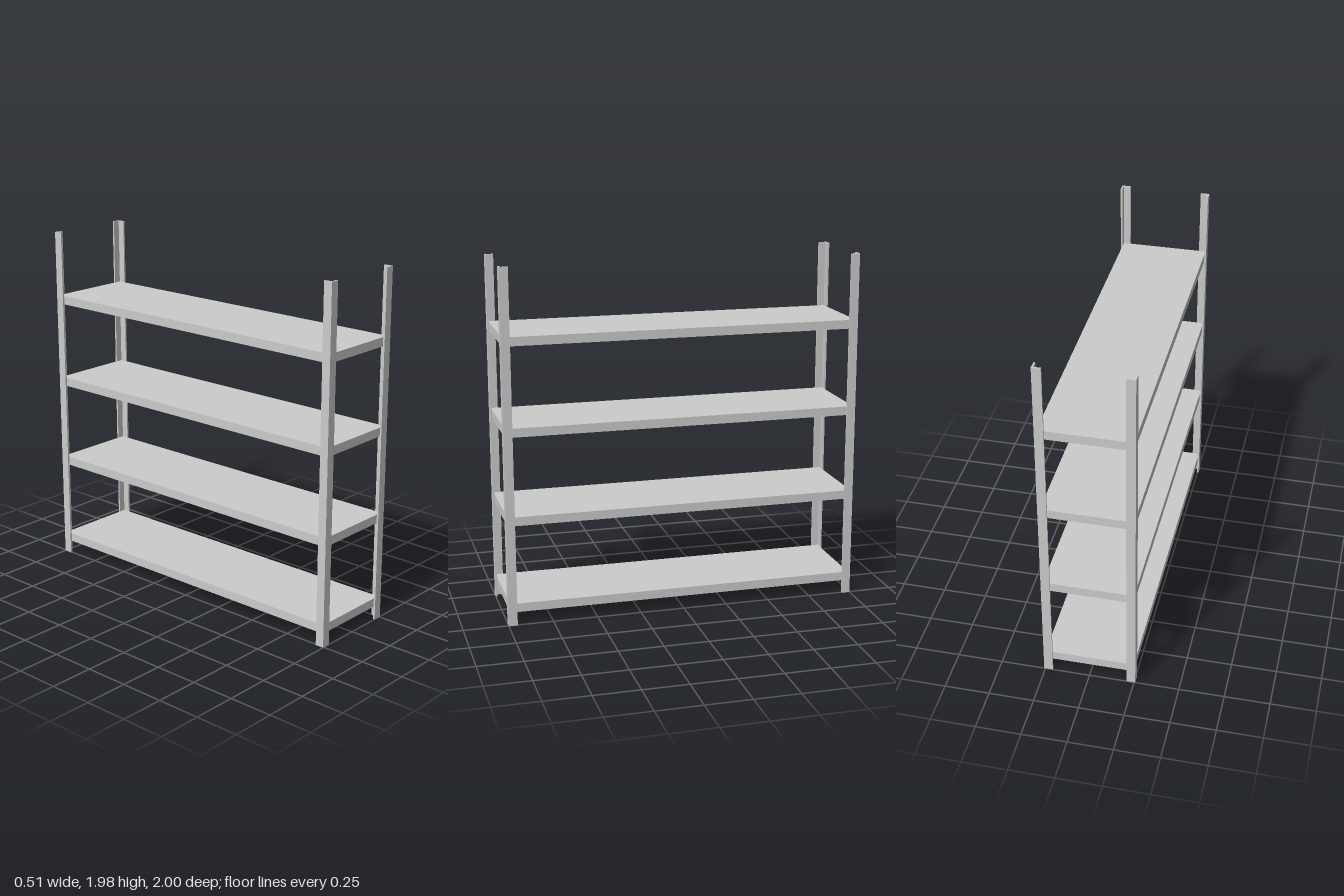
import * as THREE from 'three';

const HALF_W = 0.2574, HALF_L = 1, HEIGHT = 1.98; // overall size
const ARM = 0.0495, WALL = 0.0099;                // angle-iron post section
const SHELF_T = 0.0495, PITCH = 0.495, FIRST = 0.099;

export function createModel() {
  const group = new THREE.Group();
  group.name = 'shelvingUnit';
  const material = new THREE.MeshStandardMaterial({ color: 0xcccccc, flatShading: true });

  // Corner posts: L-shaped section, open towards the middle of the unit
  for (const sx of [-1, 1]) {
    for (const sz of [-1, 1]) {
      const section = [
        [0, 0], [ARM, 0], [ARM, WALL], [WALL, WALL], [WALL, ARM], [0, ARM],
      ].map(([a, b]) => new THREE.Vector2(sx * (HALF_W - a), -sz * (HALF_L - b)));
      const geometry = new THREE.ExtrudeGeometry(new THREE.Shape(section), {
        depth: HEIGHT, bevelEnabled: false,
      });
      geometry.rotateX(-Math.PI / 2); // extrude upwards
      const post = new THREE.Mesh(geometry, material);
      post.name = (sz > 0 ? 'front' : 'back') + (sx > 0 ? 'Left' : 'Right') + 'Post';
      group.add(post);
    }
  }

  // Shelves: solid boards fitted inside the post angles
  const board = new THREE.BoxGeometry(2 * (HALF_W - WALL), SHELF_T, 2 * (HALF_L - WALL));
  for (let i = 0; i < 4; i++) {
    const shelf = new THREE.Mesh(board, material);
    shelf.name = `shelf${i + 1}`;
    shelf.position.y = FIRST + i * PITCH;
    group.add(shelf);
  }
  return group;
}
